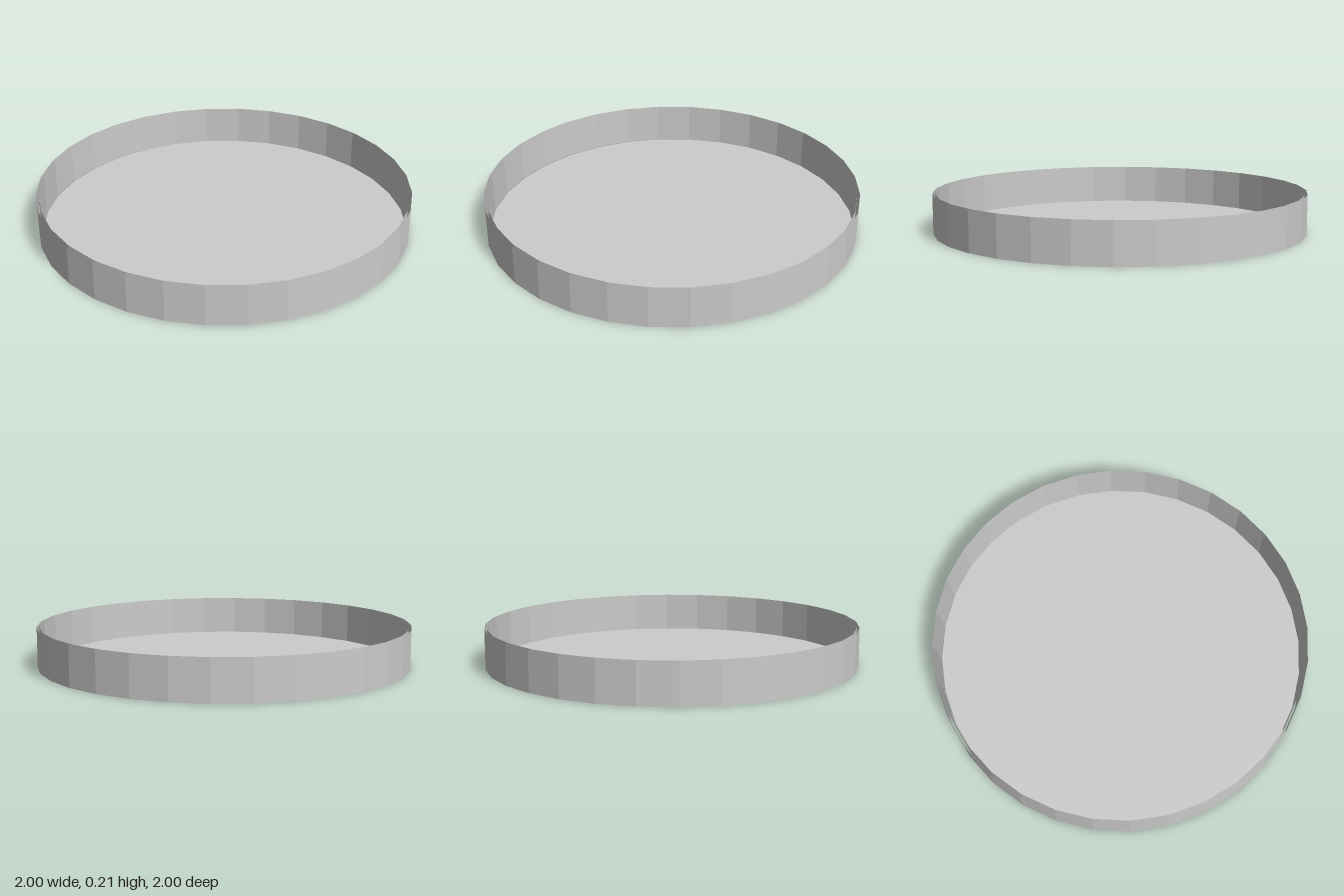
import * as THREE from 'three';

const SIDES = 32;
const HEIGHT = 0.213;

export function createModel() {
  const group = new THREE.Group();
  group.name = 'shallowTray';
  const material = new THREE.MeshStandardMaterial({
    color: 0xcccccc, flatShading: true, side: THREE.DoubleSide,
  });

  const add = (name, geometry, x, y, z) => {
    const mesh = new THREE.Mesh(geometry, material);
    mesh.name = name;
    mesh.position.set(x, y, z);
    group.add(mesh);
  };

  // Two thin, open walls with a narrow gap between them
  const wall = (radius) => new THREE.CylinderGeometry(radius, radius, HEIGHT, SIDES, 1, true);
  add('outerWall', wall(1), 0, HEIGHT / 2, 0);
  add('innerWall', wall(0.985), 0, HEIGHT / 2, 0);

  // Flat floor, set very slightly off centre
  const floor = new THREE.CircleGeometry(0.987, SIDES).rotateX(-Math.PI / 2);
  add('floor', floor, 0.01, 0.001, -0.005);

  return group;
}
